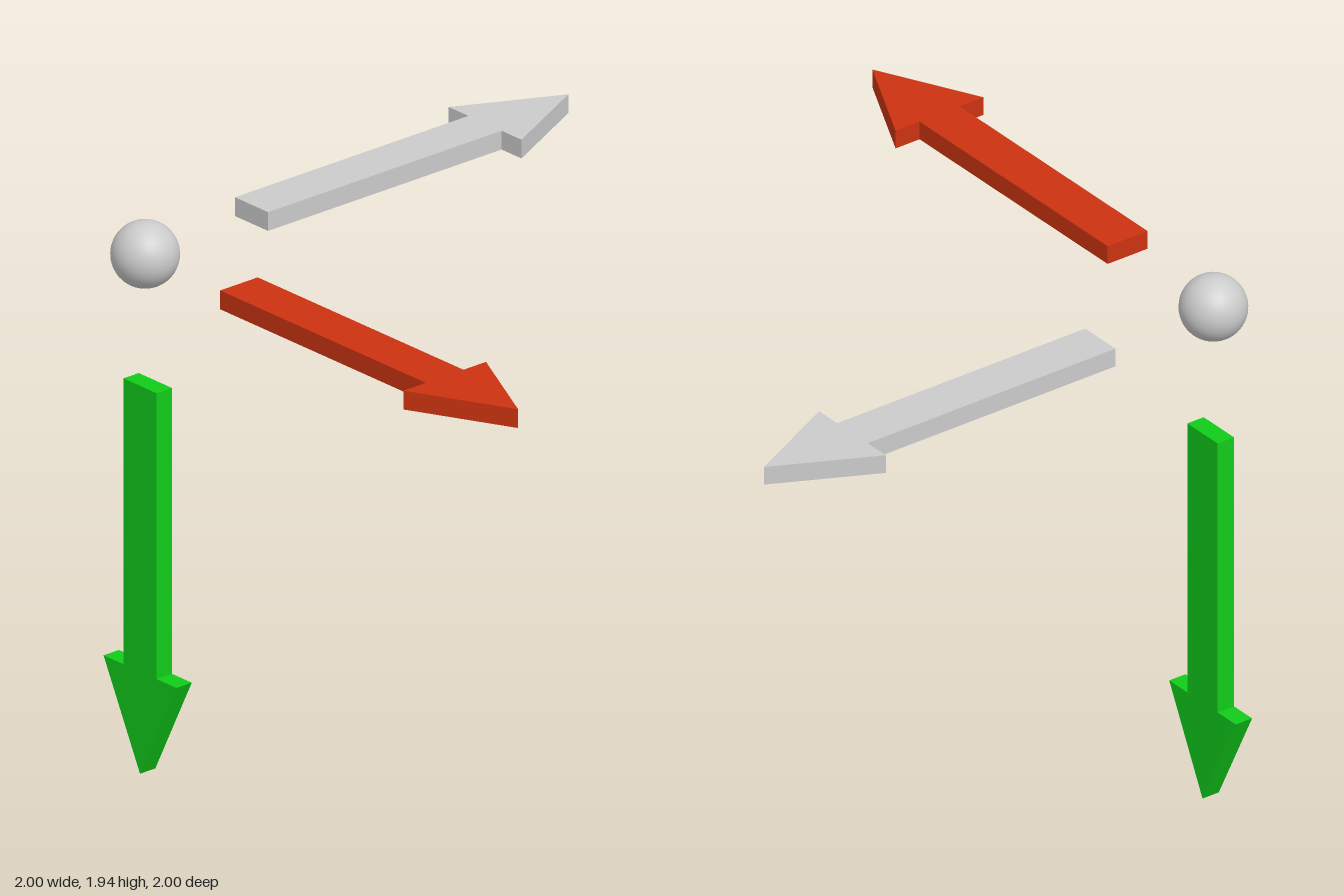
import * as THREE from 'three';

const ORIGIN = new THREE.Vector3(-0.822, 1.827, 0.822);
const THICK = 0.066;

// Flat arrow outline along +x, measured from the hub centre
function arrowGeometry() {
  const start = 0.458, neck = 1.463, tip = 1.822, shaft = 0.081, head = 0.178;
  const shape = new THREE.Shape([
    [start, -shaft], [neck, -shaft], [neck, -head], [tip, 0],
    [neck, head], [neck, shaft], [start, shaft],
  ].map(([x, y]) => new THREE.Vector2(x, y)));
  const geo = new THREE.ExtrudeGeometry(shape, { depth: THICK, bevelEnabled: false });
  return geo.translate(0, 0, -THICK / 2);
}

export function createModel() {
  const group = new THREE.Group();

  // Central ball
  const ball = new THREE.Mesh(
    new THREE.SphereGeometry(0.113, 32, 24),
    new THREE.MeshStandardMaterial({ color: 0xcccccc }),
  );
  ball.name = 'hubBall';
  ball.position.copy(ORIGIN);
  group.add(ball);

  // Three axis arrows: pointing direction, flat-face normal, slight offset along it
  const arrows = [
    ['sideArrow', 0xcc3311, [1, 0, 0], [0, 1, 0], 0.009],
    ['downArrow', 0x11cc1a, [0, -1, 0], [0, 0, 1], -0.011],
    ['backArrow', 0xcccccc, [0, 0, -1], [0, 1, 0], 0.009],
  ];
  for (const [name, color, dir, normal, offset] of arrows) {
    const x = new THREE.Vector3(...dir), z = new THREE.Vector3(...normal);
    const y = new THREE.Vector3().crossVectors(z, x);
    const mesh = new THREE.Mesh(
      arrowGeometry(),
      new THREE.MeshStandardMaterial({ color }),
    );
    mesh.name = name;
    mesh.quaternion.setFromRotationMatrix(new THREE.Matrix4().makeBasis(x, y, z));
    mesh.position.copy(ORIGIN).addScaledVector(z, offset);
    group.add(mesh);
  }
  return group;
}
